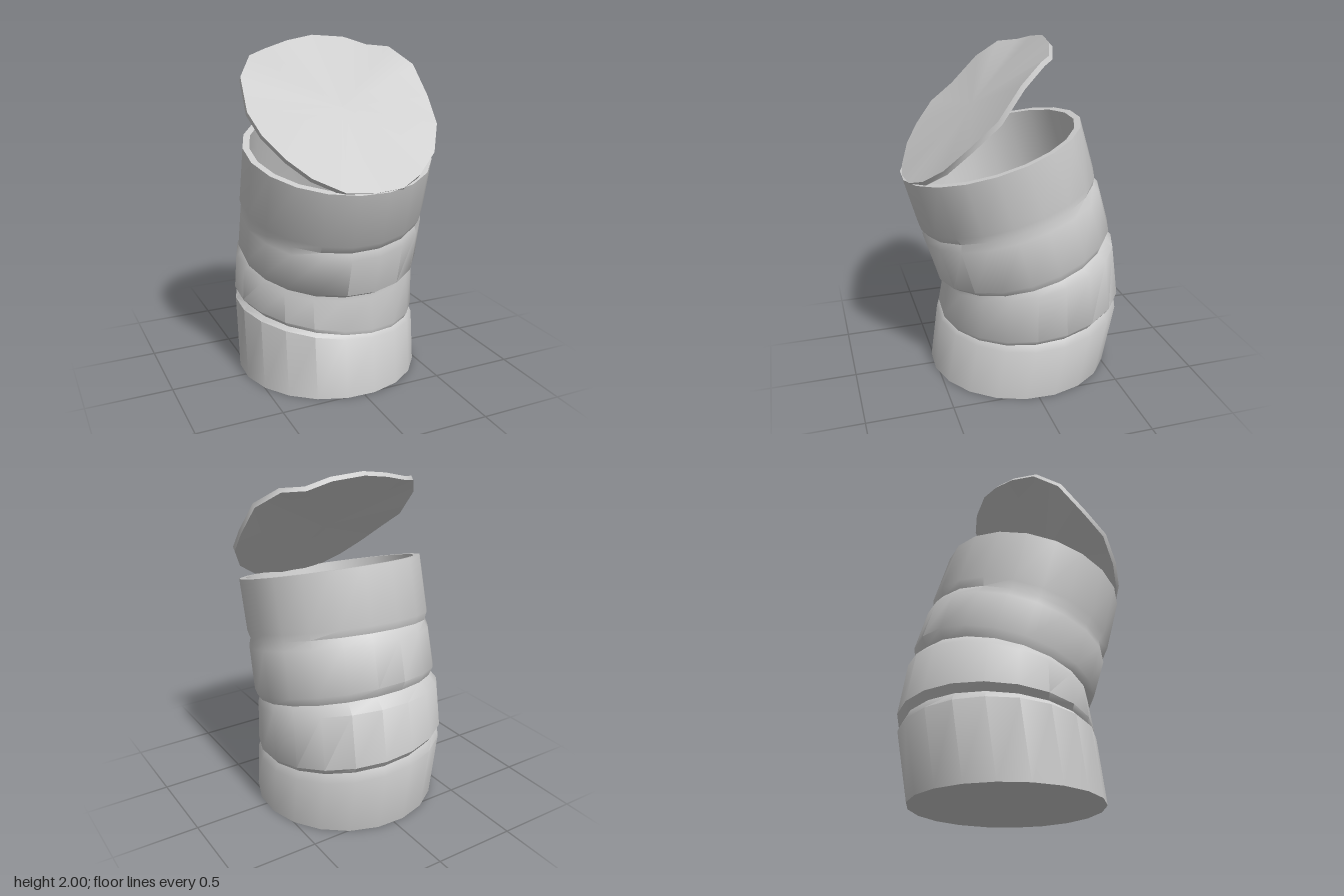
import * as THREE from 'three';
import { toCreasedNormals } from 'three/addons/utils/BufferGeometryUtils.js';

const SIDES = 20;
const material = new THREE.MeshStandardMaterial({ color: 0xcccccc });

// Joins closed loops of points, each SIDES long, into one skin
function loft(rings, crease) {
  const positions = [];
  const triangle = (a, b, c) => {
    if (a.equals(b) || b.equals(c) || c.equals(a)) return;
    for (const p of [a, b, c]) positions.push(p.x, p.y, p.z);
  };
  for (let i = 0; i < rings.length - 1; i++) {
    for (let j = 0; j < SIDES; j++) {
      const k = (j + 1) % SIDES;
      triangle(rings[i][j], rings[i][k], rings[i + 1][k]);
      triangle(rings[i][j], rings[i + 1][k], rings[i + 1][j]);
    }
  }
  const geometry = new THREE.BufferGeometry();
  geometry.setAttribute('position', new THREE.Float32BufferAttribute(positions, 3));
  return toCreasedNormals(geometry, crease);
}

// A loop shrunk to its middle, used to close an end
const pole = (p) => Array.from({ length: SIDES }, () => p.clone());

// Tilted oval from its front and back points, right and left x, and sideways tilt
function canRing([frontZ, frontY, backZ, backY, minX, maxX, tilt], scale = 1) {
  return Array.from({ length: SIDES }, (_, j) => {
    const a = (j / SIDES) * Math.PI * 2 + 0.12;
    const s = Math.sin(a) * scale, c = Math.cos(a) * scale;
    return new THREE.Vector3(
      (minX + maxX) / 2 + ((maxX - minX) / 2) * s,
      (frontY + backY) / 2 + ((frontY - backY) / 2) * c + tilt * s,
      (frontZ + backZ) / 2 + ((frontZ - backZ) / 2) * c
    );
  });
}

function canBody() {
  const profile = [
    [0.52, 0, -0.575, 0, -0.55, 0.55, 0],
    // lower dent
    [0.475, 0.335, -0.645, 0.398, -0.545, 0.56, -0.055],
    [0.455, 0.355, -0.62, 0.45, -0.515, 0.535, -0.05],
    [0.462, 0.38, -0.652, 0.495, -0.545, 0.562, -0.05],
    // middle dent
    [0.43, 0.565, -0.605, 0.79, -0.535, 0.56, 0],
    [0.43, 0.585, -0.545, 0.843, -0.51, 0.537, 0],
    [0.475, 0.61, -0.573, 0.905, -0.53, 0.56, 0],
    // upper dent
    [0.546, 0.845, -0.505, 1.14, -0.535, 0.55, 0.025],
    [0.535, 0.89, -0.465, 1.183, -0.53, 0.538, 0.025],
    [0.573, 0.934, -0.476, 1.23, -0.545, 0.545, 0.02],
    // rim
    [0.66, 1.243, -0.384, 1.543, -0.547, 0.54, 0.01],
  ];
  const floor = [0.515, 0.04, -0.58, 0.04, -0.55, 0.55, 0];
  const outside = profile.map((row) => canRing(row));
  const inside = [profile[10], profile[9], profile[6], profile[3], floor].map((row) => canRing(row, 0.93));
  const base = pole(new THREE.Vector3(0, 0, -0.03));
  const floorCentre = pole(new THREE.Vector3(0, 0.04, -0.03));
  return loft([base, ...outside, ...inside, floorCentre], 0.75);
}

function bentLid() {
  // rim points from the hinge at the front, round by +x
  const rim = [
    [-0.02, 1.247, 0.65], [0.15, 1.255, 0.64], [0.28, 1.3, 0.585], [0.42, 1.395, 0.5],
    [0.505, 1.53, 0.38], [0.528, 1.665, 0.235], [0.5, 1.835, 0.105], [0.41, 1.93, -0.03],
    [0.3, 1.94, -0.11], [0.17, 1.985, -0.155], [-0.02, 2.0, -0.18], [-0.18, 1.975, -0.165],
    [-0.335, 1.935, -0.13], [-0.455, 1.91, -0.04], [-0.548, 1.81, 0.075], [-0.568, 1.645, 0.23],
    [-0.54, 1.545, 0.37], [-0.45, 1.43, 0.485], [-0.345, 1.34, 0.565], [-0.18, 1.26, 0.625],
  ].map((p) => new THREE.Vector3(...p));
  const thickness = new THREE.Vector3(0, -0.021, -0.02);
  const under = rim.map((p) => p.clone().add(thickness));
  const centre = new THREE.Vector3(-0.02, 1.635, 0.235);
  return loft([pole(centre.clone().add(thickness)), under, rim, pole(centre)], 0.75);
}

export function createModel() {
  const model = new THREE.Group();
  model.name = 'openCrumpledCan';
  for (const [name, geometry] of [['canBody', canBody()], ['bentLid', bentLid()]]) {
    const mesh = new THREE.Mesh(geometry, material);
    mesh.name = name;
    model.add(mesh);
  }
  return model;
}
